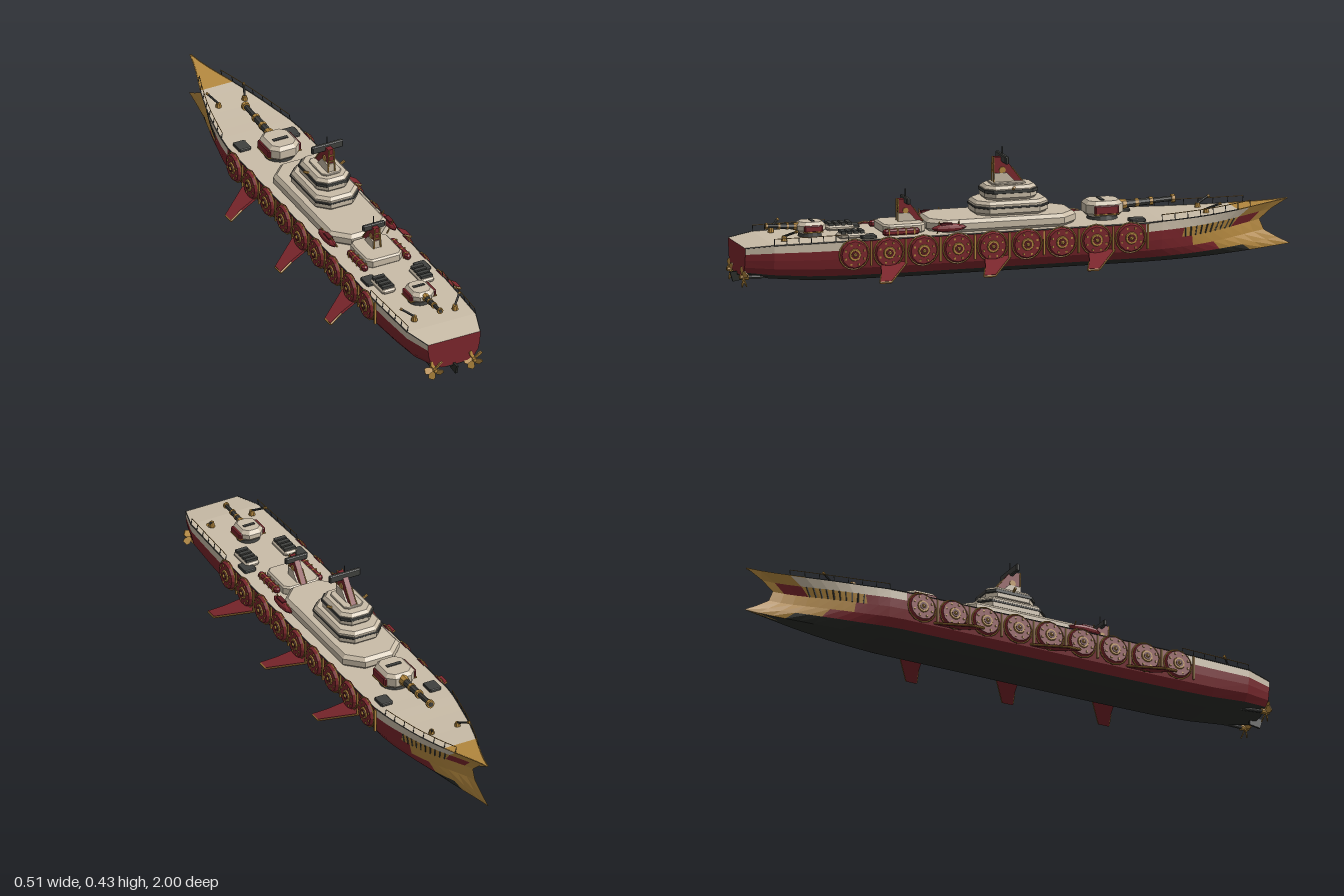
import * as THREE from 'three';

const paint = (name, color, side = THREE.FrontSide) => {
  const m = new THREE.MeshStandardMaterial({ color, side });
  m.name = name; m.flatShading = true;
  return m;
};

export function createModel() {
  const ship = new THREE.Group();
  ship.name = 'warship';
  const pale = paint('pale deck', 0xcabda8), red = paint('hull red', 0x7c262c), gold = paint('gold trim', 0xb5893f);
  const dark = paint('gunmetal', 0x40413e), black = paint('hull bottom', 0x2b2d29), deep = paint('deep red', 0x5f1b21);

  const V = (x, y, z) => new THREE.Vector3(x, y, z);
  function add(name, geo, mat, x = 0, y = 0, z = 0, parent = ship) {
    const m = new THREE.Mesh(geo, mat);
    m.name = name; m.position.set(x, y, z); parent.add(m);
    return m;
  }
  const box = (name, mat, w, h, l, x, y, z, parent) => add(name, new THREE.BoxGeometry(w, h, l), mat, x, y, z, parent);
  // Cylinder between two points
  function rod(name, mat, a, b, r, parent = ship, r2 = r, sides = 8) {
    const d = b.clone().sub(a);
    const m = add(name, new THREE.CylinderGeometry(r2, r, d.length(), sides), mat, 0, 0, 0, parent);
    m.position.copy(a).addScaledVector(d, 0.5);
    m.quaternion.setFromUnitVectors(V(0, 1, 0), d.normalize());
    return m;
  }
  // Deckhouse block with cut corners and bevelled edges, standing on y
  function block(name, mat, w, l, h, c, x, y, z, parent = ship, bev = 0.006) {
    const a = w / 2 - bev, b = l / 2 - bev;
    const s = new THREE.Shape([[a, b - c], [a - c, b], [c - a, b], [-a, b - c], [-a, c - b], [c - a, -b], [a - c, -b], [a, c - b]]
      .map(p => new THREE.Vector2(...p)));
    const g = new THREE.ExtrudeGeometry(s, { depth: h - 2 * bev, bevelSize: bev, bevelThickness: bev, bevelSegments: 1 });
    g.rotateX(-Math.PI / 2).translate(0, bev, 0);
    return add(name, g, mat, x, y, z, parent);
  }
  // Plate drawn in the z-y plane, centred on x
  function sidePlate(name, mat, pts, t, x, y, z, parent = ship) {
    const g = new THREE.ExtrudeGeometry(new THREE.Shape(pts.map(p => new THREE.Vector2(...p))), { depth: t, bevelEnabled: false });
    g.translate(0, 0, -t / 2).rotateY(-Math.PI / 2);
    return add(name, g, mat, x, y, z, parent);
  }

  // ---- Hull: stations of [z, half width, deck height, keel height, bow fraction]
  const stations = [[0.975, 0.1, 0.146, 0.037], [0.88, 0.131, 0.156, 0.022], [0.75, 0.136, 0.157, 0.008], [0.62, 0.14, 0.158, 0.002],
    [0.4, 0.14, 0.158, 0], [0, 0.14, 0.158, 0], [-0.44, 0.139, 0.158, 0]].map(s => [...s, -1]);
  [0.132, 0.123, 0.113, 0.103, 0.091, 0.077, 0.062, 0.045, 0.028, 0.013, 0.002].forEach((w, i) => {
    const s = i / 10;
    stations.push([-0.5, w, 0.16 + 0.027 * s * s, 0.02 * s * s, s]);
  });
  const rowW = [1, 1, 0.975, 0.92, 0.78, 0.48, 0], rowH = [1, 0.8, 0.6, 0.38, 0.2, 0.06, 0];
  const stem = [-0.985, -0.925, -0.885, -0.9, -0.95, -0.995, -0.9];
  const goldFrom = [0.7, 0.2, 0.3, 0.5, 0.7, 0.9];
  function hullPoint(i, j, side = 1) {
    const [z, w, top, low, s] = stations[i];
    return V(side * w * rowW[j], low + (top - low) * rowH[j], s > 0 ? z + (stem[j] - z) * s : z);
  }
  const skins = new Map();
  const quad = (mat, a, b, c, d) => {
    if (!skins.has(mat)) skins.set(mat, []);
    skins.get(mat).push(a, b, c, a, c, d);
  };
  for (let i = 0; i < stations.length - 1; i++) {
    const s = stations[i][4], z = stations[i][0];
    for (let j = 0; j < 6; j++) {
      let mat = j > 3 ? black : red;
      if (j === 0 && (z > 0.65 || z < -0.4)) mat = pale;
      if (s + 0.01 >= goldFrom[j]) mat = gold;
      if (j === 1 && s > 0.65 && s < 0.85) mat = red;
      const p = k => [hullPoint(i, j, k), hullPoint(i + 1, j, k), hullPoint(i + 1, j + 1, k), hullPoint(i, j + 1, k)];
      const [a, b, c, d] = p(1);
      quad(mat, a, d, c, b);
      quad(mat, ...p(-1));
    }
    quad(s > 0.55 ? gold : pale, hullPoint(i, 0, -1), hullPoint(i, 0), hullPoint(i + 1, 0), hullPoint(i + 1, 0, -1));
  }
  for (let j = 0; j < 6; j++)
    quad(j > 4 ? black : red, hullPoint(0, j, -1), hullPoint(0, j + 1, -1), hullPoint(0, j + 1), hullPoint(0, j));
  skins.forEach((pts, mat) => {
    const g = new THREE.BufferGeometry().setFromPoints(pts);
    g.computeVertexNormals();
    add('hull ' + mat.name, g, mat);
  });

  for (const k of [1, -1]) {
    // Dark slats and lower edging on the bow
    for (let i = 9; i < 14; i++) for (const f of [0.1, 0.6]) {
      const top = hullPoint(i, 1, k).lerp(hullPoint(i + 1, 1, k), f), low = hullPoint(i, 2, k).lerp(hullPoint(i + 1, 2, k), f + 0.25);
      rod('bowSlat', dark, top, low, 0.003, ship, 0.003, 4);
    }
    // Deck edge trim and railings
    for (let i = 0; i < stations.length - 1; i++) {
      const a = hullPoint(i, 0, k), b = hullPoint(i + 1, 0, k);
      rod('deckEdge', i > 12 ? gold : dark, a, b, 0.002, ship, 0.002, 4);
      if ((i < 1 || i > 2) && (i < 7 || i > 13)) continue;
      const n = i < 7 ? 3 : 1, up = V(-k * 0.004, 0.022, 0);
      rod('railing', gold, a.clone().add(up), b.clone().add(up), 0.0015, ship, 0.0015, 4);
      for (let q = 0; q <= n; q++) {
        const p = a.clone().lerp(b, q / n);
        rod('railPost', dark, p, p.clone().add(up), 0.0015, ship, 0.0015, 4);
      }
    }
    // Row of round side shields
    for (let n = 0; n < 9; n++) {
      const shield = new THREE.Group();
      shield.name = 'sideShield';
      shield.position.set(k * 0.143, 0.112, 0.6 - n * 0.123);
      shield.rotation.y = k * Math.PI / 2;
      ship.add(shield);
      const disc = (name, mat, r1, r2, t, z) => add(name, new THREE.CylinderGeometry(r1, r2, t, 12).rotateX(Math.PI / 2), mat, 0, 0, z, shield);
      disc('shieldPlate', red, 0.046, 0.053, 0.016, 0);
      add('shieldRim', new THREE.TorusGeometry(0.053, 0.0025, 4, 16), gold, 0, 0, -0.002, shield);
      disc('shieldRing', gold, 0.02, 0.023, 0.006, 0.009);
      disc('shieldInset', deep, 0.014, 0.014, 0.003, 0.0125);
      disc('shieldBoss', gold, 0.004, 0.009, 0.008, 0.015);
      for (let q = 0; q < 8; q++) {
        const a = (q + 0.5) * Math.PI / 4;
        box('shieldStud', gold, 0.006, 0.006, 0.004, 0.036 * Math.cos(a), 0.036 * Math.sin(a), 0.009, shield);
      }
      box('shieldPost', gold, 0.006, 0.085, 0.008, 0.0615, 0, -0.002, shield);
    }
    // Swept stabiliser fins with gold edges
    for (const z of [-0.34, 0.03, 0.4]) {
      const fin = new THREE.Group();
      fin.name = 'stabiliserFin';
      fin.position.set(k * 0.118, 0.074, z);
      fin.rotation.z = -k * 0.32;
      ship.add(fin);
      const c = [[0, 0], [0.138, 0.1], [0.138, 0.14], [0.085, 0.12], [0, 0.1]];
      const g = new THREE.ExtrudeGeometry(new THREE.Shape(c.map(p => new THREE.Vector2(k * p[0], -p[1]))), { depth: 0.01, bevelEnabled: false });
      add('finBlade', g.rotateX(-Math.PI / 2).translate(0, -0.005, 0), red, 0, 0, 0, fin);
      const at = i => V(k * c[i][0], 0, c[i][1]);
      for (const i of [1, 2]) rod('finEdge', gold, at(i), at(i + 1), 0.004, fin, 0.004, 6);
      rod('finEdge', gold, at(0), at(1), 0.003, fin, 0.003, 6);
    }
    // Propellers
    const prop = new THREE.Group();
    prop.name = 'propeller';
    prop.position.set(k * 0.075, 0.042, 0.972);
    ship.add(prop);
    add('propellerHub', new THREE.CylinderGeometry(0.007, 0.011, 0.03, 8).rotateX(Math.PI / 2), gold, 0, 0, 0, prop);
    const blade = new THREE.ExtrudeGeometry(new THREE.Shape([[-0.005, 0.005], [-0.013, 0.026], [-0.009, 0.037], [0.009, 0.037], [0.013, 0.026], [0.005, 0.005]]
      .map(p => new THREE.Vector2(...p))), { depth: 0.004, bevelEnabled: false });
    blade.rotateY(0.5);
    for (let q = 0; q < 5; q++) add('propellerBlade', blade, gold, 0, 0, 0, prop).rotation.z = q * Math.PI * 0.4 + 0.3;
    rod('propellerShaft', dark, V(k * 0.075, 0.042, 0.97), V(k * 0.06, 0.035, 0.8), 0.006);

    // Deck fittings: hatches, vents, boats and light guns
    block('hatch', dark, 0.046, 0.055, 0.012, 0.004, k * 0.1, 0.157, 0.54, ship, 0.002);
    block('hatch', dark, 0.046, 0.055, 0.012, 0.004, k * 0.094, 0.157, -0.42, ship, 0.002);
    block('ventBase', pale, 0.054, 0.1, 0.018, 0.006, k * 0.074, 0.157, 0.59);
    for (let q = 0; q < 4; q++) box('ventSlat', dark, 0.044, 0.012, 0.015, k * 0.074, 0.178, 0.557 + q * 0.022);
    const boat = add('boat', new THREE.SphereGeometry(1, 8, 6), red, k * 0.116, 0.179, 0.255);
    boat.scale.set(0.016, 0.014, 0.062);
    box('boatCabin', deep, 0.016, 0.01, 0.04, k * 0.116, 0.191, 0.265);
    for (const z of [0.22, 0.29]) rod('boatDavit', gold, V(k * 0.095, 0.157, z), V(k * 0.12, 0.202, z), 0.0025);
    block('redLocker', red, 0.022, 0.13, 0.022, 0.004, k * 0.082, 0.157, 0.415);
    for (let q = 0; q < 4; q++) box('lockerBand', gold, 0.0235, 0.023, 0.004, k * 0.082, 0.168, 0.37 + q * 0.03);
    for (const [x, z, dx, dz] of [[0.078, 0.83, 0.03, -0.03], [0.05, -0.68, 0.018, -0.04]]) {
      const p = V(k * x, 0.16, z);
      rod('lightGunBase', gold, p, p.clone().add(V(0, 0.018, 0)), 0.012, ship, 0.008);
      rod('lightGunBarrel', dark, p.clone().add(V(0, 0.016, 0)), p.clone().add(V(k * dx, 0.034, dz)), 0.004);
      rod('lightGunMuzzle', gold, p.clone().add(V(k * dx, 0.034, dz)), p.clone().add(V(k * dx * 1.2, 0.037, dz * 1.2)), 0.005);
    }
    // Bridge wing beams
    rod('bridgeWing', gold, V(k * 0.05, 0.282, 0.01), V(k * 0.078, 0.297, 0.01), 0.005);
  }

  // ---- Superstructure tiers
  block('lowerDeckhouse', pale, 0.22, 0.53, 0.045, 0.05, 0, 0.156, 0.05, ship, 0.012);
  block('middleDeckhouse', pale, 0.164, 0.26, 0.05, 0.035, 0, 0.2, 0.01, ship, 0.01);
  block('bridge', pale, 0.126, 0.185, 0.05, 0.025, 0, 0.249, 0.01, ship, 0.01);
  block('bridgeWindows', dark, 0.13, 0.189, 0.012, 0.025, 0, 0.274, 0.01, ship, 0.001);
  block('deckhouseBand', dark, 0.167, 0.263, 0.007, 0.035, 0, 0.226, 0.01, ship, 0.001);
  block('bridgeRoof', pale, 0.075, 0.12, 0.008, 0.012, 0, 0.298, 0.015, ship, 0.002);
  block('aftDeckhouse', pale, 0.14, 0.15, 0.034, 0.015, 0, 0.156, 0.395);

  // Fin-shaped masts with radar plate and aerial
  function mast(x, y, z, h, w, radarW, radarH) {
    const g = new THREE.Group();
    g.name = 'mast'; g.position.set(x, y, z); ship.add(g);
    sidePlate('mastFin', red, [[-0.06 * w, 0], [0.042 * w, 0], [0.042 * w, h], [0.01 * w, h * 0.98], [-0.018 * w, h * 0.6]], 0.02, 0, 0, 0, g);
    sidePlate('mastFoot', pale, [[-0.035 * w, 0], [0.045 * w, 0], [0.045 * w, h * 0.4], [0, h * 0.4]], 0.032, 0, 0, 0, g);
    for (const k of [1, -1]) {
      rod('mastRail', gold, V(k * 0.013, 0, 0.045 * w), V(k * 0.009, h, 0.045 * w), 0.003, g);
      rod('mastRail', gold, V(k * 0.011, 0, -0.06 * w), V(k * 0.011, h * 0.6, -0.019 * w), 0.002, g);
      add('mastBoss', new THREE.CylinderGeometry(0.012 * w, 0.012 * w, 0.005, 8).rotateZ(Math.PI / 2), gold, k * 0.011, h * 0.5, 0.015 * w, g);
    }
    for (const f of [0.5, 0.75]) box('mastRung', gold, 0.026, 0.004, 0.004, 0, h * f, 0.045 * w, g);
    block('radar', dark, radarW, 0.014, radarH, 0.002, 0, h * 0.98 - radarH * 0.6, 0.012 * w, g, 0.003);
    rod('aerial', dark, V(0, h * 0.9, 0.012 * w), V(0, h + 0.034, 0.012 * w), 0.002, g);
  }
  mast(0, 0.3, 0.018, 0.092, 1, 0.12, 0.027);
  mast(0, 0.186, 0.365, 0.08, 0.85, 0.085, 0.022);

  // ---- Gun turrets, barrel along +z before turning
  function turret(z, turn, w, l, h, reach, r) {
    const g = new THREE.Group();
    g.name = 'gunTurret'; g.position.set(0, 0.157, z); g.rotation.y = turn; ship.add(g);
    add('barbette', new THREE.CylinderGeometry(w * 0.44, w * 0.48, 0.016, 16), dark, 0, 0.008, 0, g);
    block('turretBody', pale, w, l, h, w * 0.17, 0, 0.012, 0, g, 0.012);
    for (const k of [1, -1]) {
      block('turretCheek', red, 0.014, l * 0.66, h * 0.55, 0.003, k * w * 0.5, 0.012 + h * 0.2, 0, g, 0.003);
      box('cheekTrim', gold, 0.016, 0.004, l * 0.66, k * w * 0.5, 0.012 + h * 0.2, 0, g);
    }
    box('turretHatch', dark, w * 0.5, 0.004, l * 0.1, 0, 0.013 + h, -l * 0.05, g);
    const a = V(0, 0.012 + h * 0.55, l * 0.42), b = V(0, 0.012 + h * 0.62 + reach * 0.03, reach), at = f => a.clone().lerp(b, f);
    rod('gunMantlet', gold, at(0), at(0.15), r * 1.7, g, r * 1.3);
    rod('gunBarrel', dark, at(0.1), at(0.6), r * 1.15, g, r);
    rod('gunMuzzle', dark, at(0.6), b, r * 0.75, g, r * 0.75);
    for (const f of [0.3, 0.55, 0.93]) rod('gunRing', gold, at(f), at(f + 0.06), r * 1.25, g);
  }
  turret(-0.325, Math.PI, 0.112, 0.13, 0.054, 0.26, 0.012);
  turret(0.715, 0, 0.086, 0.1, 0.04, 0.16, 0.009);

  // Rudder
  sidePlate('rudder', black, [[0.95, 0.02], [0.99, 0.014], [1, 0.048], [0.95, 0.05]], 0.008, 0, 0, 0);
  return ship;
}
